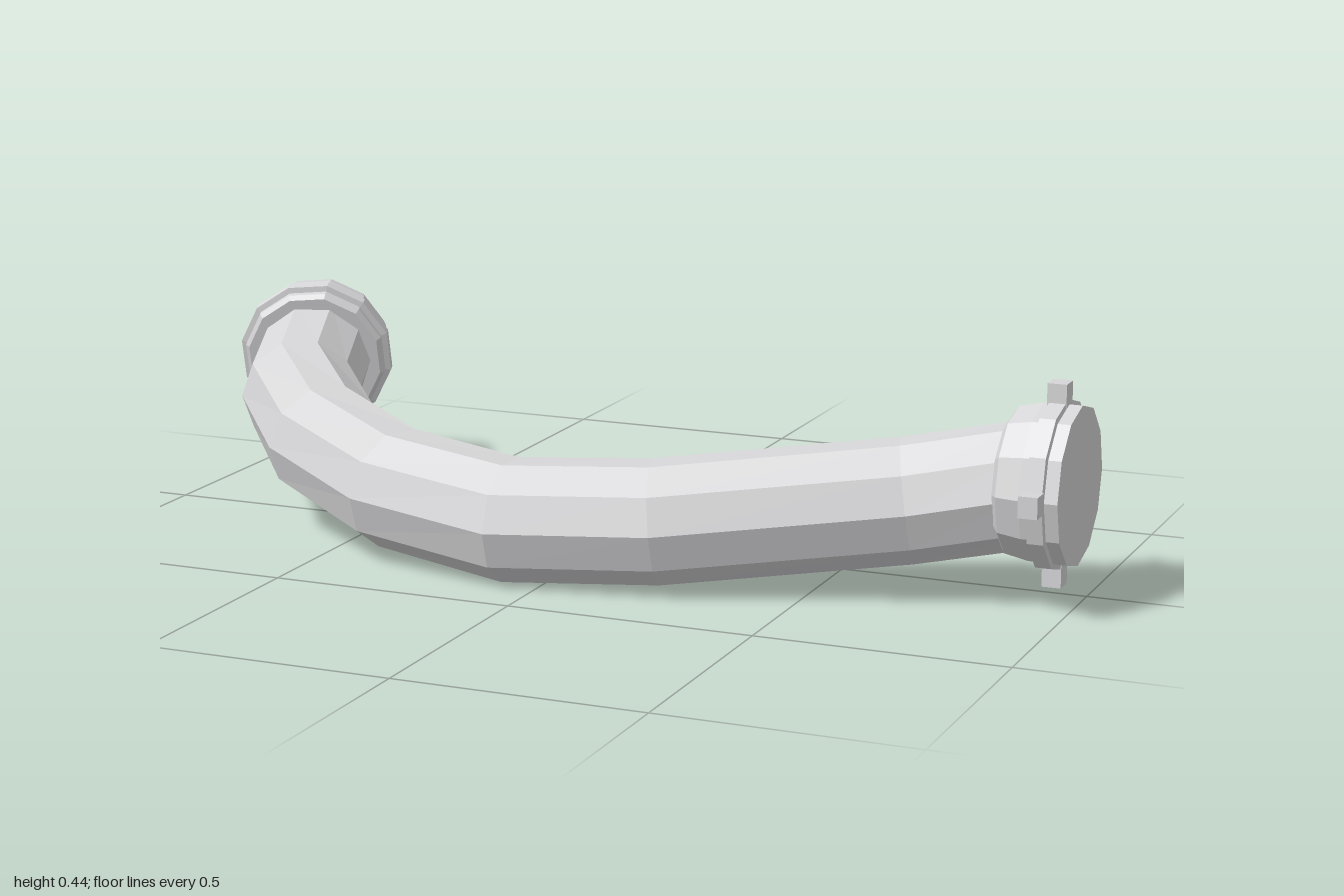
import * as THREE from 'three';

const steel = new THREE.MeshStandardMaterial({ color: 0xd6d6d8, flatShading: true });
steel.name = 'steelGrey';
const V = (x, y, z) => new THREE.Vector3(x, y, z);

function addMesh(parent, geometry, name) {
  const mesh = new THREE.Mesh(geometry, steel);
  mesh.name = name;
  parent.add(mesh);
  return mesh;
}

// Ten-sided pipe swept through the path, with rings kept upright
function pipeGeometry(path, radius, sides) {
  const pos = [], index = [];
  path.forEach((p, i) => {
    const a = path[Math.max(i - 1, 0)], b = path[Math.min(i + 1, path.length - 1)];
    const t = b.clone().sub(a).normalize();
    const side = t.clone().cross(V(0, 1, 0)).normalize();
    const up = side.clone().cross(t);
    for (let j = 0; j < sides; j++) {
      const ang = (j / sides) * Math.PI * 2;
      const v = p.clone()
        .addScaledVector(side, Math.cos(ang) * radius)
        .addScaledVector(up, Math.sin(ang) * radius);
      pos.push(v.x, v.y, v.z);
      if (i > 0) {
        const k = (j + 1) % sides, r0 = (i - 1) * sides, r1 = i * sides;
        index.push(r0 + j, r1 + k, r0 + k, r0 + j, r1 + j, r1 + k);
      }
    }
  });
  const g = new THREE.BufferGeometry();
  g.setAttribute('position', new THREE.Float32BufferAttribute(pos, 3));
  g.setIndex(index);
  g.computeVertexNormals();
  return g;
}

// Twelve-sided turned part; profile is [radius, distance along axis]
function turned(profile, origin, axis, name) {
  const group = new THREE.Group();
  group.name = name;
  group.position.copy(origin);
  group.quaternion.setFromUnitVectors(V(0, 1, 0), axis.clone().normalize());
  const pts = profile.map(([r, d]) => new THREE.Vector2(r, d));
  addMesh(group, new THREE.LatheGeometry(pts, 12), name + 'Body');
  return group;
}

export function createModel() {
  const model = new THREE.Group();
  model.name = 'curvedPipe';

  // Bent pipe
  const path = [
    V(0.89, 0.23, 0.07), V(0.67, 0.187, 0.113), V(0.21, 0.134, 0.267),
    V(-0.08, 0.12, 0.315), V(-0.36, 0.142, 0.254), V(-0.596, 0.184, 0.11),
    V(-0.762, 0.228, -0.09), V(-0.836, 0.27, -0.306),
  ];
  addMesh(model, pipeGeometry(path, 0.124, 10), 'pipe');

  // Rounded end cap with a raised ring
  model.add(turned([
    [0, -0.008], [0.146, -0.008], [0.155, 0.002], [0.155, 0.015], [0.167, 0.018],
    [0.167, 0.04], [0.157, 0.045], [0.157, 0.075], [0.148, 0.105], [0.128, 0.126], [0, 0.126],
  ], V(-0.826, 0.264, -0.278), V(-0.32, 0.19, -0.93), 'endCap'));

  // Flange at the other end
  model.add(turned([
    [0, 0], [0.128, 0], [0.146, 0.012], [0.156, 0.06], [0.156, 0.074], [0.167, 0.076],
    [0.167, 0.108], [0.157, 0.11], [0.157, 0.136], [0, 0.136],
  ], V(0.864, 0.239, 0.075), V(1, 0, 0), 'flange'));

  // Four lugs around the flange
  for (let i = 0; i < 4; i++) {
    const a = (i * Math.PI) / 2;
    const lug = addMesh(model, new THREE.BoxGeometry(0.038, 0.08, 0.042), 'flangeLug');
    lug.position.set(0.955, 0.239 + Math.cos(a) * 0.159, 0.075 + Math.sin(a) * 0.159);
    lug.rotation.x = a;
  }
  return model;
}
